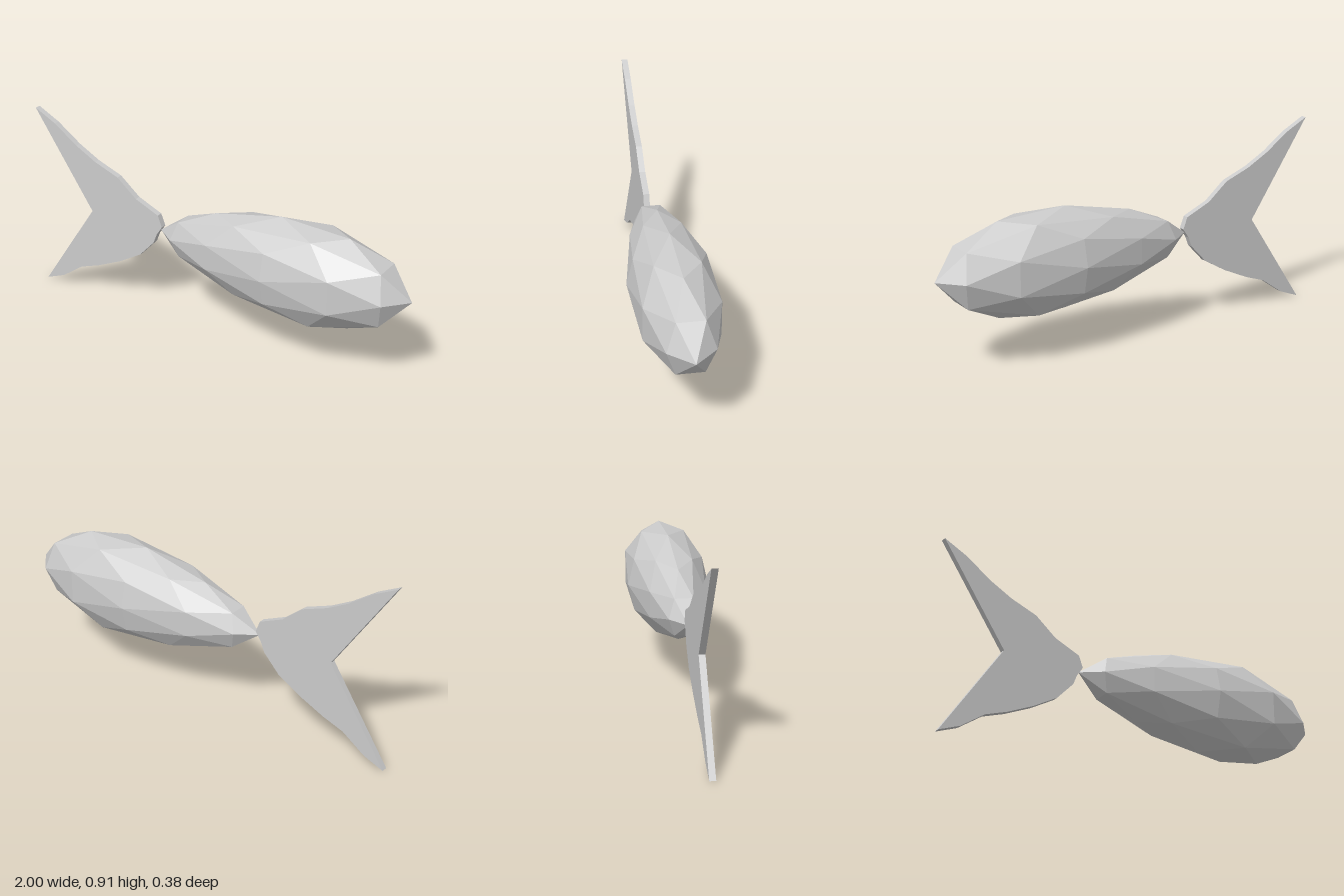
import * as THREE from 'three';

const material = new THREE.MeshStandardMaterial({ color: 0xcccccc, flatShading: true });

// Faceted body: a low-poly sphere stretched along x, fuller at the head and slimmer at the tail
function createBody() {
  const geometry = new THREE.IcosahedronGeometry(1, 1);
  const p = geometry.attributes.position;
  for (let i = 0; i < p.count; i++) {
    const u = p.getX(i);
    const girth = 1 + 0.3 * u - 0.154 * u * u - 0.134 * u * u * u;
    p.setXYZ(i, 0.35 + 0.65 * u, 0.445 + 0.239 * girth * p.getY(i), 0.192 * girth * p.getZ(i));
  }
  geometry.computeVertexNormals();
  const body = new THREE.Mesh(geometry, material);
  body.name = 'body';
  return body;
}

// Forked tail: thin flat plate with a stepped leading edge
function createTail() {
  const outline = [
    [-1, 0.909], [-0.89, 0.853], [-0.767, 0.767], [-0.66, 0.709], [-0.532, 0.66], [-0.43, 0.575],
    [-0.307, 0.521], [-0.285, 0.465], [-0.315, 0.42], [-0.334, 0.372], [-0.414, 0.286],
    [-0.532, 0.217], [-0.66, 0.158], [-0.767, 0.12], [-0.88, 0.04], [-0.981, 0], [-0.687, 0.445],
  ];
  const shape = new THREE.Shape(outline.map(([x, y]) => new THREE.Vector2(x, y)));
  const geometry = new THREE.ExtrudeGeometry(shape, { depth: 0.029, bevelEnabled: false });
  geometry.translate(0, 0, -0.0135);
  const tail = new THREE.Mesh(geometry, material);
  tail.name = 'tailFin';
  return tail;
}

export function createModel() {
  const model = new THREE.Group();
  model.name = 'fish';
  model.add(createBody(), createTail());
  return model;
}
